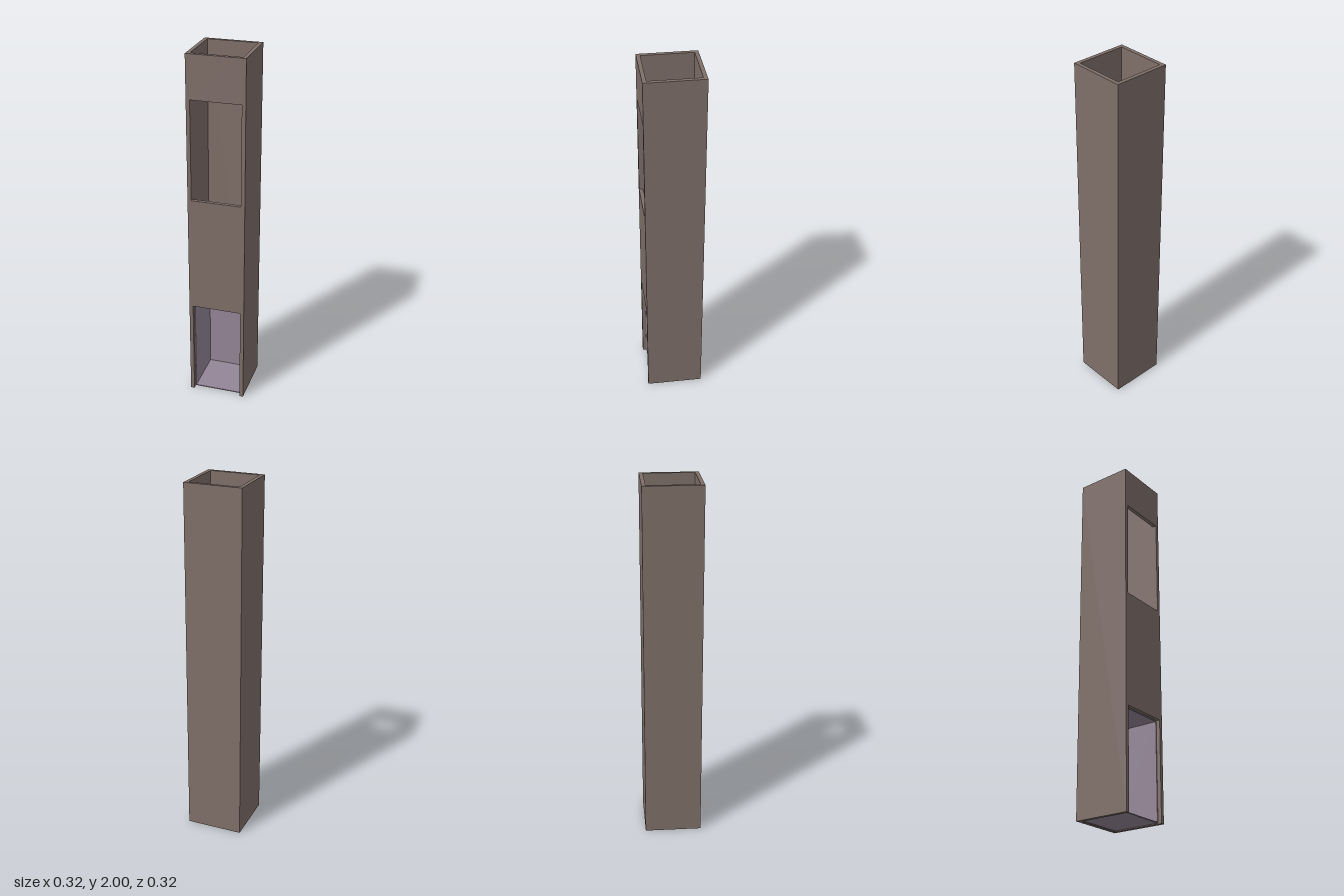
import * as THREE from 'three';

const OUT = 0.158;   // half width of the shaft outside
const INN = 0.137;   // half width of the shaft inside
const HEIGHT = 2;
const WALL = OUT - INN;

const brown = new THREE.MeshStandardMaterial({ color: 0x7f6f69 });
const mauve = new THREE.MeshStandardMaterial({ color: 0x948697 });

function addMesh(parent, name, geometry, material) {
  const mesh = new THREE.Mesh(geometry, material);
  mesh.name = name;
  parent.add(mesh);
  return mesh;
}

const polygon = (points) => points.map(([x, y]) => new THREE.Vector2(x, y));
const rectangle = (x, y0, y1) => polygon([[-x, y0], [x, y0], [x, y1], [-x, y1]]);
const extrude = (shape, depth) => new THREE.ExtrudeGeometry(shape, { depth, bevelEnabled: false });

function createShaft() {
  const shaft = new THREE.Group();
  shaft.name = 'shaft';

  // Back and side walls: a U-shaped plan, open to the front, raised to full height
  const plan = new THREE.Shape(polygon([
    [-OUT, -OUT], [-INN, -OUT], [-INN, INN], [INN, INN],
    [INN, -OUT], [OUT, -OUT], [OUT, OUT], [-OUT, OUT],
  ]));
  addMesh(shaft, 'backAndSideWalls', extrude(plan, HEIGHT).rotateX(-Math.PI / 2), brown);

  // Front panels leave a doorway at the bottom and another near the top
  const panels = [['middleFrontPanel', 0.556, 1.205], ['topFrontPanel', 1.762, HEIGHT]];
  for (const [name, y0, y1] of panels) {
    const panel = addMesh(shaft, name, new THREE.BoxGeometry(INN * 2, y1 - y0, WALL), brown);
    panel.position.set(0, (y0 + y1) / 2, (OUT + INN) / 2);
  }
  return shaft;
}

function createCar() {
  const car = new THREE.Group();
  car.name = 'liftCar';
  const half = 0.1365, skin = 0.005, bottom = 0.005, top = 0.555;

  // Floor, roof and sides as one tube, open at the front
  const section = new THREE.Shape(rectangle(half, bottom, top));
  section.holes.push(new THREE.Path(rectangle(half - skin, bottom + skin, top - skin)));
  const tube = addMesh(car, 'carFloorRoofAndSides', extrude(section, half * 2), mauve);
  tube.position.z = -half;

  // Back panel closes the tube
  const back = addMesh(car, 'carBack',
    new THREE.BoxGeometry((half - skin) * 2, top - bottom - skin * 2, skin), mauve);
  back.position.set(0, (top + bottom) / 2, -half + skin / 2);
  return car;
}

export function createModel() {
  const model = new THREE.Group();
  model.name = 'liftTower';
  model.add(createShaft(), createCar());
  return model;
}
